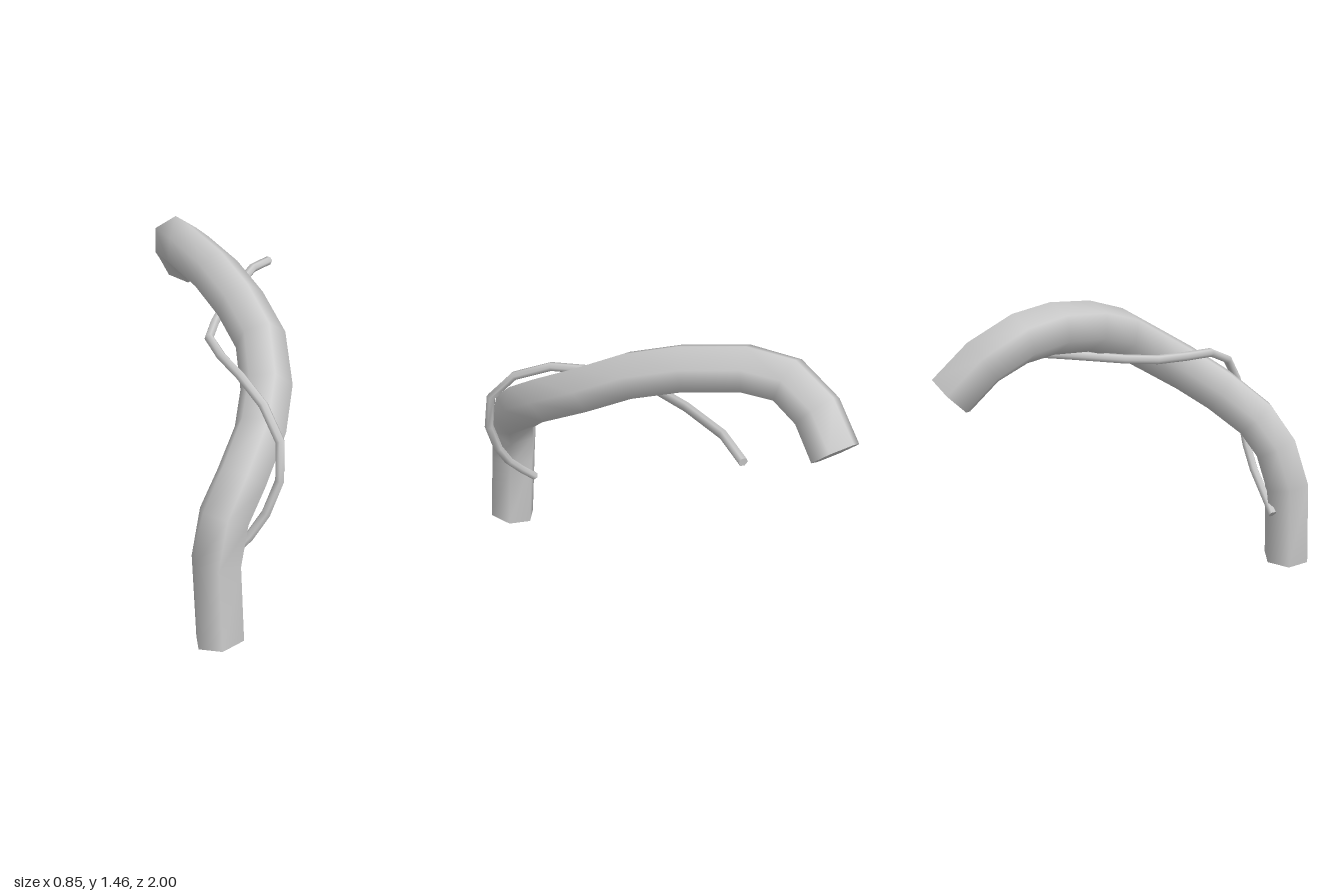
import * as THREE from 'three';

const material = new THREE.MeshStandardMaterial({ color: 0xcccccc });

// Sweeps a six-sided ring along a path, smooth on the sides and capped flat at both ends.
function sweep(name, path, radius, sides, firstTangent, firstNormal) {
  const pts = path.map((p) => new THREE.Vector3(...p));
  const last = pts.length - 1;
  const normal = new THREE.Vector3(...firstNormal);
  const positions = [];
  const index = [];

  pts.forEach((p, i) => {
    // Tangent averaged from the two neighbouring segments
    const tangent = new THREE.Vector3();
    if (i > 0) tangent.add(p.clone().sub(pts[i - 1]).normalize());
    if (i < last) tangent.add(pts[i + 1].clone().sub(p).normalize());
    if (i === 0 && firstTangent) tangent.set(...firstTangent);
    tangent.normalize();
    // Carry the ring direction along without twist
    normal.addScaledVector(tangent, -normal.dot(tangent)).normalize();
    const side = new THREE.Vector3().crossVectors(tangent, normal);
    for (let j = 0; j < sides; j++) {
      const a = (j / sides) * Math.PI * 2;
      const v = p.clone().addScaledVector(normal, Math.cos(a) * radius).addScaledVector(side, Math.sin(a) * radius);
      positions.push(v.x, v.y, v.z);
    }
  });

  // Side walls
  for (let i = 0; i < last; i++) {
    for (let j = 0; j < sides; j++) {
      const a = i * sides + j;
      const b = i * sides + ((j + 1) % sides);
      index.push(a, b, b + sides, a, b + sides, a + sides);
    }
  }

  // End caps on their own vertices so the rims stay sharp
  for (const end of [0, last]) {
    const base = positions.length / 3;
    positions.push(...positions.slice(end * sides * 3, (end + 1) * sides * 3));
    for (let j = 1; j < sides - 1; j++) {
      if (end === 0) index.push(base, base + j + 1, base + j);
      else index.push(base, base + j, base + j + 1);
    }
  }

  const geometry = new THREE.BufferGeometry();
  geometry.setAttribute('position', new THREE.Float32BufferAttribute(positions, 3));
  geometry.setIndex(index);
  geometry.computeVertexNormals();
  const mesh = new THREE.Mesh(geometry, material);
  mesh.name = name;
  return mesh;
}

export function createModel() {
  const model = new THREE.Group();
  model.name = 'archedBranchWithVine';

  // Thick branch rising at the front and arching over to the back
  model.add(sweep('branch', [
    [0.175, 0.02, 0.89],
    [0.155, 0.41, 0.875],
    [0.18, 0.605, 0.82],
    [0.24, 0.75, 0.73],
    [0.295, 0.9, 0.55],
    [0.295, 1.02, 0.37],
    [0.235, 1.15, 0.15],
    [0.115, 1.25, -0.02],
    [-0.03, 1.315, -0.21],
    [-0.205, 1.345, -0.43],
    [-0.3, 1.325, -0.6],
    [-0.32, 1.235, -0.77],
    [-0.3, 1.09, -0.91],
  ], 0.118, 6, [-0.17, 1, -0.03], [-1, 0, 1]));

  // Thin vine climbing from the back of the branch, passing beneath and trailing off
  model.add(sweep('vine', [
    [0.1, 0.28, 0.78],
    [0.19, 0.37, 0.765],
    [0.28, 0.47, 0.745],
    [0.35, 0.585, 0.73],
    [0.405, 0.745, 0.715],
    [0.4, 0.92, 0.69],
    [0.315, 1.045, 0.605],
    [0.195, 1.11, 0.47],
    [0.08, 1.122, 0.3],
    [-0.005, 1.132, 0.13],
    [-0.005, 1.145, -0.03],
    [0.025, 1.175, -0.3],
    [0.085, 1.2, -0.6],
    [0.14, 1.175, -0.785],
  ], 0.022, 6, null, [0, 0, 1]));

  return model;
}
